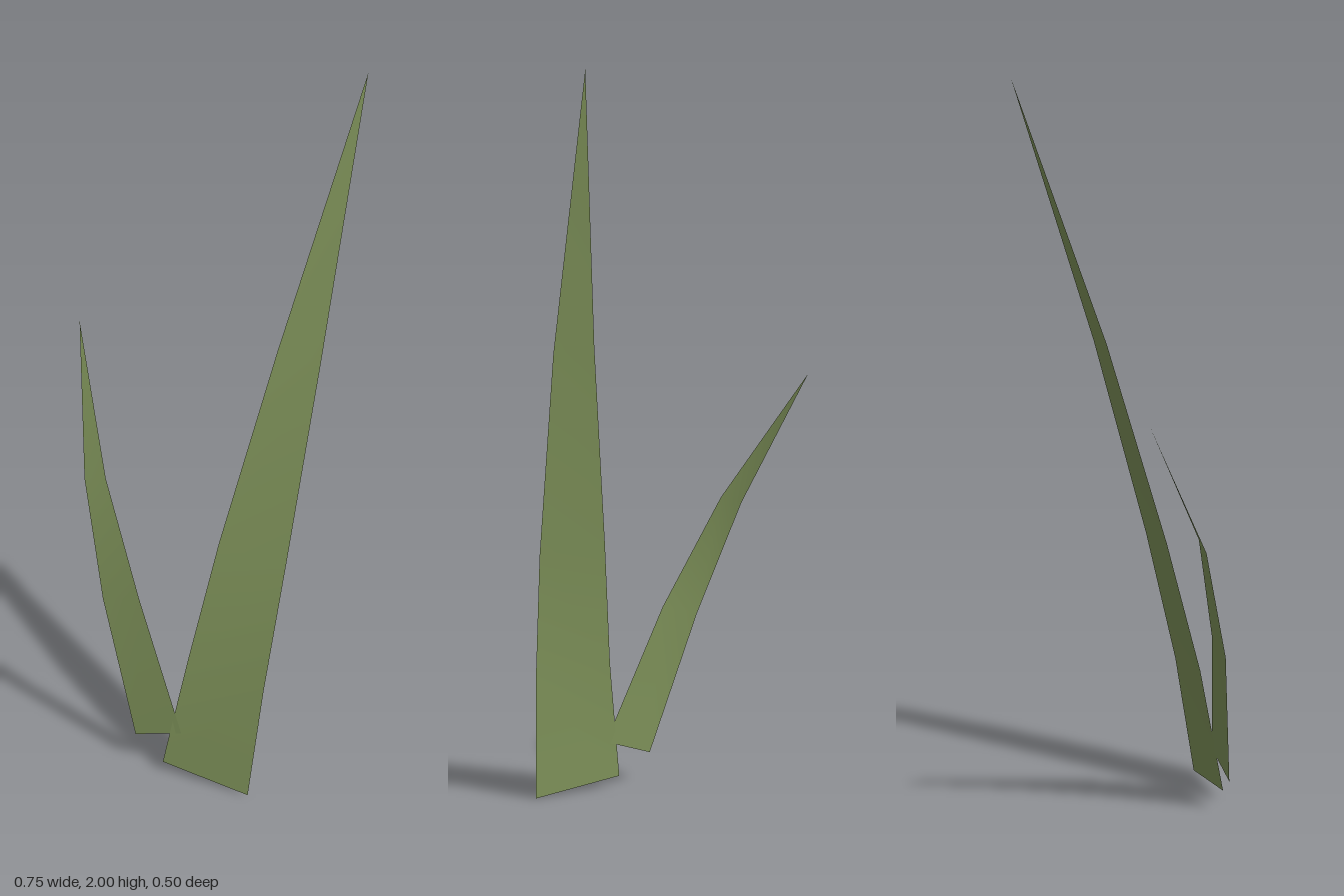
import * as THREE from 'three';

const material = new THREE.MeshStandardMaterial({ color: 0x8a9f62, side: THREE.DoubleSide });

// A thin curved leaf: rows of [left point, right point] rising to a single tip.
function blade(name, rows, tip) {
  const positions = [...rows.flat(2), ...tip];
  const index = [];
  for (let i = 0; i < rows.length - 1; i++) {
    const a = i * 2;
    index.push(a, a + 1, a + 3, a, a + 3, a + 2);
  }
  const last = (rows.length - 1) * 2;
  index.push(last, last + 1, last + 2);

  const geometry = new THREE.BufferGeometry();
  geometry.setAttribute('position', new THREE.Float32BufferAttribute(positions, 3));
  geometry.setIndex(index);
  geometry.computeVertexNormals();
  const mesh = new THREE.Mesh(geometry, material);
  mesh.name = name;
  return mesh;
}

export function createModel() {
  const group = new THREE.Group();
  group.name = 'grassTuft';

  // Tall broad blade leaning back and to its left
  group.add(blade('tallBlade', [
    [[0.02, 0.03, 0.245], [0.28, 0, 0.25]],
    [[0.075, 0.37, 0.195], [0.302, 0.34, 0.2]],
    [[0.132, 0.73, 0.115], [0.327, 0.71, 0.12]],
    [[0.235, 1.28, -0.025], [0.355, 1.27, -0.025]],
  ], [0.375, 2, -0.25]));

  // Short narrow blade arching out to the other side
  group.add(blade('shortBlade', [
    [[-0.07, 0.09, 0.23], [0.07, 0.138, 0.23]],
    [[-0.19, 0.49, 0.172], [-0.08, 0.52, 0.172]],
    [[-0.28, 0.81, 0.083], [-0.215, 0.83, 0.085]],
  ], [-0.375, 1.185, -0.107]));

  return group;
}
